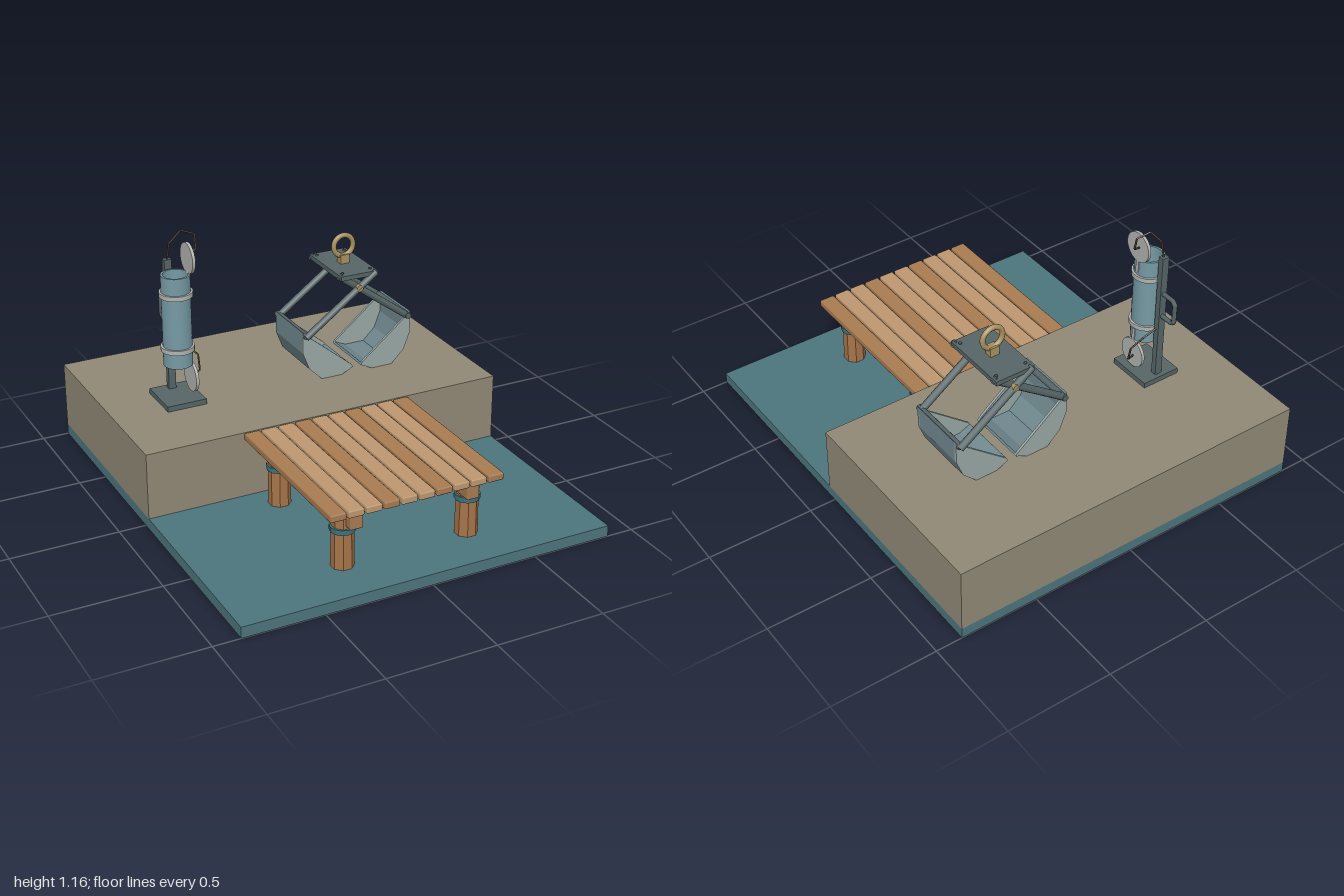
import * as THREE from 'three';
import { toCreasedNormals } from 'three/addons/utils/BufferGeometryUtils.js';
import { RoundedBoxGeometry } from 'three/addons/geometries/RoundedBoxGeometry.js';

const mat = (color, flatShading = false) => new THREE.MeshStandardMaterial({ color, flatShading });
const M = {
  water: mat(0x4c757d), bank: mat(0x918976),
  woodDark: mat(0xa97c52), woodLight: mat(0xbd9870), post: mat(0xa6744a, true),
  steel: mat(0x566567), paint: mat(0x769aa4), shell: mat(0x70888e), side: mat(0x9aa8a6),
  grey: mat(0xb2b4b0), brass: mat(0xa8925f), wire: mat(0x4f4336), rope: mat(0x3f727c),
};

function add(parent, name, geo, material, x = 0, y = 0, z = 0) {
  const mesh = new THREE.Mesh(geo, material);
  mesh.name = name;
  mesh.position.set(x, y, z);
  parent.add(mesh);
  return mesh;
}

function group(parent, name) {
  const g = new THREE.Group();
  g.name = name;
  parent.add(g);
  return g;
}

const box = (w, h, d) => new THREE.BoxGeometry(w, h, d);

// Round bar between two points
function rod(parent, name, a, b, r, material, sides = 10) {
  const A = new THREE.Vector3(...a), B = new THREE.Vector3(...b);
  const mesh = add(parent, name, new THREE.CylinderGeometry(r, r, A.distanceTo(B), sides), material);
  mesh.position.copy(A).add(B).multiplyScalar(0.5);
  mesh.quaternion.setFromUnitVectors(new THREE.Vector3(0, 1, 0), B.sub(A).normalize());
  return mesh;
}

// Tube that follows straight segments
function bentTube(parent, name, pts, r, material) {
  const path = new THREE.CurvePath();
  const v = pts.map(p => new THREE.Vector3(...p));
  for (let i = 1; i < v.length; i++) path.add(new THREE.LineCurve3(v[i - 1], v[i]));
  return add(parent, name, new THREE.TubeGeometry(path, 60, r, 6, false), material);
}

// Hollow ring or pipe with square edges
function pipe(outer, inner, y0, y1, sides = 24) {
  const profile = [[outer, y0], [outer, y1], [inner, y1], [inner, y0], [outer, y0]];
  const geo = new THREE.LatheGeometry(profile.map(p => new THREE.Vector2(...p)), sides);
  return toCreasedNormals(geo, 0.6);
}

function slab(points, depth) {
  const shape = new THREE.Shape(points.map(p => new THREE.Vector2(...p)));
  return new THREE.ExtrudeGeometry(shape, { depth, bevelEnabled: false });
}

function addDock(root) {
  const dock = group(root, 'dock');
  for (let i = 0; i < 10; i++) {
    add(dock, 'plank', new RoundedBoxGeometry(0.074, 0.033, 0.83, 1, 0.006),
      i % 3 === 0 ? M.woodDark : M.woodLight, -0.376 + i * 0.0831, 0.349, 0.457);
  }
  for (const s of [-1, 1]) {
    add(dock, 'beam', new RoundedBoxGeometry(0.06, 0.075, 0.775, 1, 0.006), M.woodDark, s * 0.278, 0.295, 0.458);
    for (const z of [0.16, 0.76]) {
      const post = add(dock, 'post', new THREE.CylinderGeometry(0.048, 0.052, 0.284, 8), M.post, s * 0.3, 0.19, z);
      post.rotation.y = Math.PI / 8;
      add(dock, 'postBand', pipe(0.057, 0.045, 0.221, 0.245, 12), M.rope, s * 0.3, 0, z);
    }
  }
}

function addSampler(root) {
  const g = group(root, 'waterSampler');
  const x = -0.535, z = -0.392;

  // Stand
  add(g, 'basePlate', box(0.19, 0.027, 0.22), M.steel, x, 0.378, -0.41);
  add(g, 'standPost', box(0.035, 0.635, 0.028), M.steel, x, 0.707, -0.485);

  // Open bottle with clamps
  add(g, 'bottle', pipe(0.067, 0.057, 0.55, 0.985, 28), M.paint, x, 0, z);
  for (const y of [0.633, 0.894]) {
    add(g, 'clampBand', pipe(0.077, 0.066, y - 0.011, y + 0.011, 28), M.grey, x, 0, z);
    add(g, 'clampBracket', box(0.03, 0.022, 0.025), M.grey, x, y, -0.468);
  }

  // Opened end lids, hanging on edge beside the bottle
  for (const [y, strapY] of [[1.05, 0.96], [0.476, 0.57]]) {
    const lid = add(g, 'lid', new THREE.CylinderGeometry(0.072, 0.072, 0.014, 24), M.grey, -0.472, y, z);
    lid.rotation.z = Math.PI / 2;
    add(g, 'lidHinge', box(0.012, 0.08, 0.018), M.grey, -0.472, strapY, z);
  }

  // Trip wires
  bentTube(g, 'upperWire', [[-0.535, 1.01, -0.485], [-0.527, 1.1, -0.472], [-0.477, 1.16, -0.455],
    [-0.417, 1.14, -0.438], [-0.42, 1.075, -0.422], [-0.468, 1.052, -0.4]], 0.0045, M.wire);
  bentTube(g, 'lowerWire', [[-0.52, 0.64, -0.48], [-0.467, 0.605, -0.465], [-0.417, 0.55, -0.44],
    [-0.417, 0.48, -0.425], [-0.468, 0.465, -0.4]], 0.0045, M.wire);

  // Carrying handle
  bentTube(g, 'handle', [[x, 0.715, -0.49], [x, 0.715, -0.56], [x, 0.73, -0.577],
    [x, 0.82, -0.577], [x, 0.835, -0.56], [x, 0.835, -0.49]], 0.011, M.steel);
}

function addGrab(root) {
  const g = group(root, 'clamshellGrab');
  const cx = 0.33, cz = -0.442;

  // Head plate with bolts, lifting eye and pivot pin
  add(g, 'headPlate', box(0.19, 0.022, 0.325), M.steel, cx, 0.857, cz);
  for (const sx of [-1, 1]) for (const sz of [-1, 1]) {
    add(g, 'bolt', new THREE.CylinderGeometry(0.007, 0.007, 0.008, 6), M.steel, cx + sx * 0.072, 0.871, cz + sz * 0.13);
  }
  add(g, 'eyeStem', box(0.045, 0.045, 0.038), M.brass, cx, 0.888, cz);
  add(g, 'liftingEye', new THREE.TorusGeometry(0.05, 0.012, 10, 28), M.brass, cx, 0.952, cz);
  rod(g, 'pivotPin', [cx, 0.797, cz - 0.172], [cx, 0.797, cz + 0.172], 0.016, M.brass, 14);

  // Half-bucket outline: distance outwards from the centre line, height
  const outer = [[0.283, 0.62], [0.283, 0.515], [0.25, 0.43], [0.185, 0.367], [0.08, 0.367], [0.02, 0.395]];
  const inner = [[0.026, 0.404], [0.083, 0.379], [0.181, 0.379], [0.241, 0.437], [0.272, 0.518], [0.272, 0.61]];
  const mouth = [[0.03, 0.41], [0.265, 0.602]];
  const half = 0.143;

  for (const s of [-1, 1]) {
    const bucket = group(g, s < 0 ? 'rightBucket' : 'leftBucket');
    const place = pts => pts.map(([d, y]) => [cx + s * d, y]);
    add(bucket, 'bucketShell', slab(place([...outer, ...inner]), 2 * half), M.shell, 0, 0, cz - half);
    for (const e of [-1, 1]) {
      add(bucket, 'bucketCheek', slab(place([...outer, ...mouth]), 0.012), M.side, 0, 0, cz + e * (half - 0.005) - 0.006);
      // Crossing arms, the two pairs set side by side
      const az = cz + e * 0.146 - s * 0.01;
      rod(g, 'arm', [cx + s * 0.272, 0.597, az], [cx - s * 0.09, 0.86, az], 0.017, M.steel);
    }
    rod(bucket, 'hingeBar', [cx + s * 0.268, 0.602, cz - 0.155], [cx + s * 0.268, 0.602, cz + 0.155], 0.015, M.steel);
  }
}

export function createModel() {
  const root = new THREE.Group();
  root.name = 'waterfrontDiorama';
  add(root, 'water', box(1.75, 0.052, 2), M.water, 0, 0.026, 0);
  add(root, 'bank', box(1.75, 0.315, 1.04), M.bank, 0, 0.2085, -0.48);
  addDock(root);
  addSampler(root);
  addGrab(root);
  return root;
}
